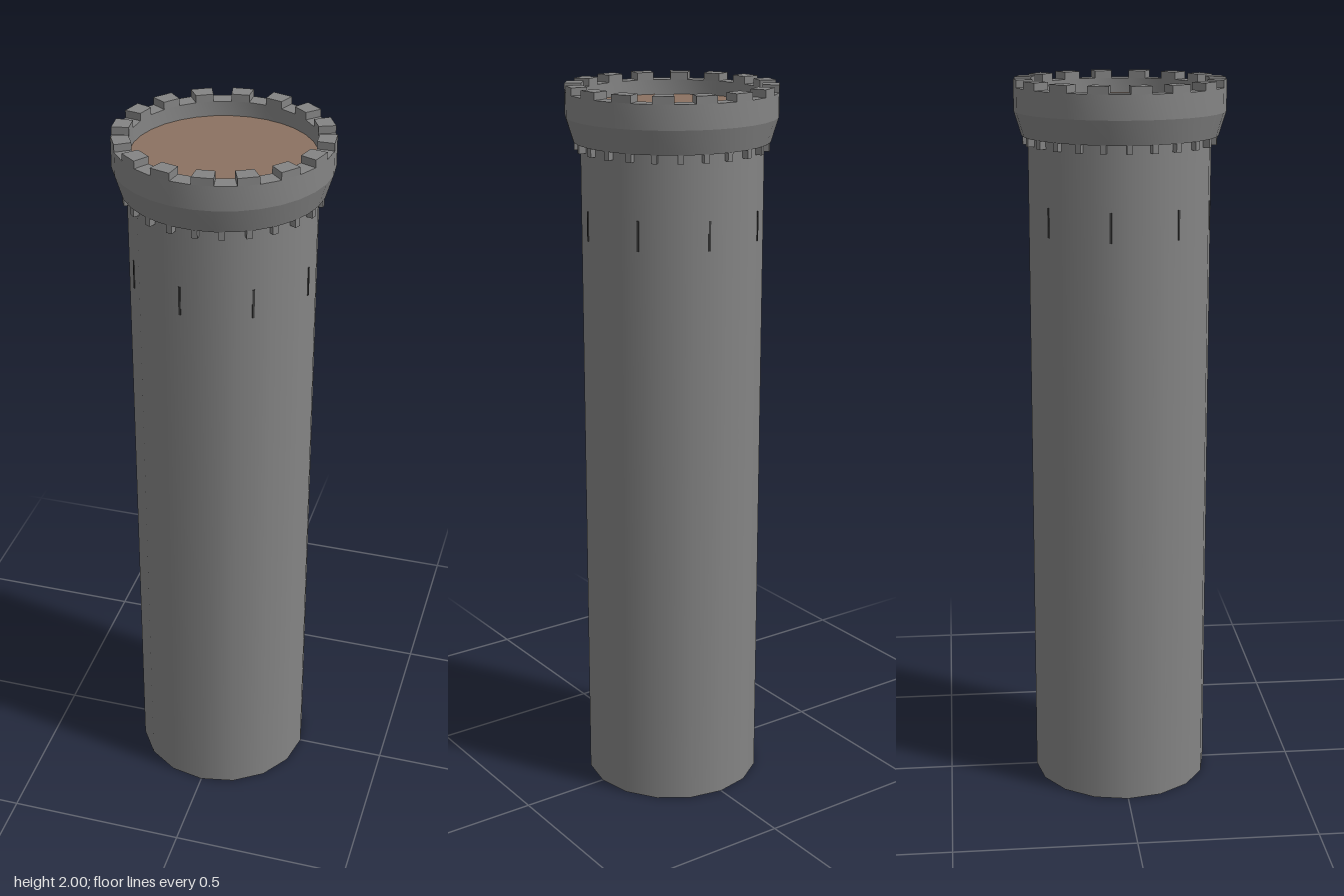
import * as THREE from 'three';
import { toCreasedNormals } from 'three/addons/utils/BufferGeometryUtils.js';

const RING_SIDES = 32, BODY_SIDES = 16;
const BODY_R = 0.248, INNER_R = 0.24, OUTER_R = 0.285;

// Block that follows the ring: a box bent between two angles and two radii
function ringBlock(a0, a1, r0, r1, y0, y1) {
  const g = new THREE.BoxGeometry(1, 1, 1);
  const p = g.attributes.position;
  for (let i = 0; i < p.count; i++) {
    const a = p.getX(i) < 0 ? a0 : a1;
    const r = p.getZ(i) < 0 ? r0 : r1;
    const y = p.getY(i) < 0 ? y0 : y1;
    p.setXYZ(i, r * Math.sin(a), y, r * Math.cos(a));
  }
  g.computeVertexNormals();
  return g;
}

export function createModel() {
  const model = new THREE.Group();
  model.name = 'tower';

  const stone = new THREE.MeshStandardMaterial({ color: 0x848484, side: THREE.DoubleSide });
  stone.name = 'grey stone';
  const wood = new THREE.MeshStandardMaterial({ color: 0x8b7261 });
  wood.name = 'brown floor';
  const dark = new THREE.MeshStandardMaterial({ color: 0x3c3c3c });
  dark.name = 'dark slit';

  const add = (name, geometry, material, parent = model) => {
    const mesh = new THREE.Mesh(geometry, material);
    mesh.name = name;
    parent.add(mesh);
    return mesh;
  };
  const addGroup = (name) => {
    const group = new THREE.Group();
    group.name = name;
    model.add(group);
    return group;
  };

  // Open round shaft
  const shaft = new THREE.CylinderGeometry(BODY_R, BODY_R, 1.85, BODY_SIDES, 1, true);
  shaft.translate(0, 0.925, 0);
  add('shaft', shaft, stone);

  // Flared parapet wall
  const profile = [
    [0.24, 1.85], [0.265, 1.85], [OUTER_R, 1.915], [OUTER_R, 1.98], [INNER_R, 1.98], [INNER_R, 1.94],
  ].map(([r, y]) => new THREE.Vector2(r, y));
  add('parapet', toCreasedNormals(new THREE.LatheGeometry(profile, RING_SIDES), 0.25), stone);

  // Roof floor
  const floor = new THREE.CircleGeometry(INNER_R, RING_SIDES);
  floor.rotateX(-Math.PI / 2);
  add('roofFloor', floor, wood).position.y = 1.94;

  // Merlons on every second segment of the ring
  const merlons = addGroup('merlons');
  const step = (Math.PI * 2) / RING_SIDES;
  for (let i = 0; i < RING_SIDES; i += 2) {
    add('merlon', ringBlock(i * step, (i + 1) * step, INNER_R, OUTER_R, 1.98, 2), stone, merlons);
  }

  // Small corbels under the parapet
  const corbels = addGroup('corbels');
  for (let i = 0; i < 24; i++) {
    const a = (i / 24) * Math.PI * 2;
    add('corbel', ringBlock(a - 0.03, a + 0.03, 0.235, 0.262, 1.827, 1.852), stone, corbels);
  }

  // Arrow slits centred on every second face of the shaft
  const slits = addGroup('arrowSlits');
  const faceR = BODY_R * Math.cos(Math.PI / BODY_SIDES);
  for (let i = 0; i < 8; i++) {
    const a = (i * 2 + 0.5) * (Math.PI * 2 / BODY_SIDES) - Math.PI / 8;
    const slit = add('arrowSlit', new THREE.BoxGeometry(0.006, 0.08, 0.004), dark, slits);
    slit.position.set(faceR * Math.sin(a), 1.635, faceR * Math.cos(a));
    slit.rotation.y = a;
  }

  return model;
}
